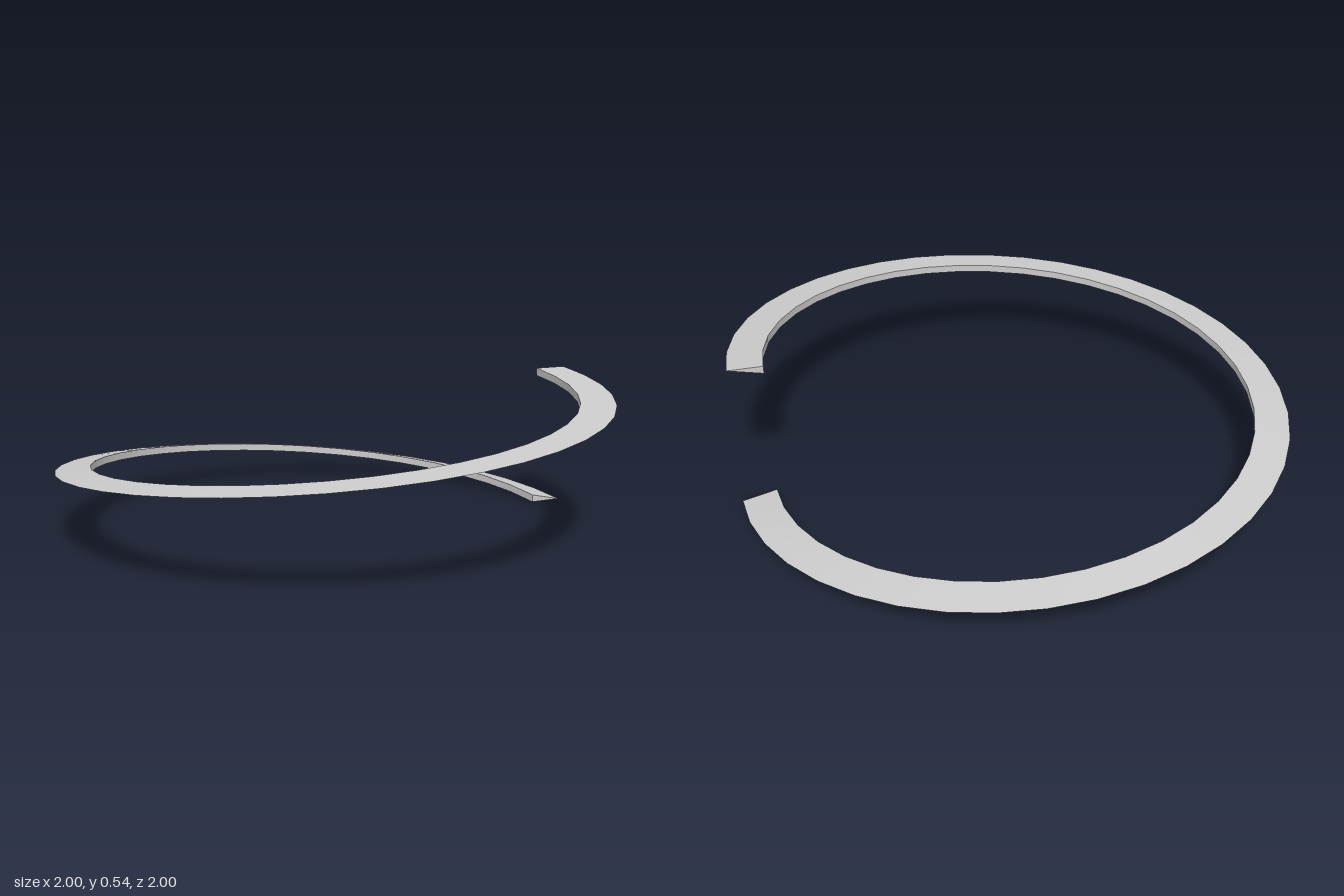
import * as THREE from 'three';
import { toCreasedNormals } from 'three/addons/utils/BufferGeometryUtils.js';

const SEGMENTS = 40;
const R_OUT = 1, R_IN = 0.875;
const RISE = 0.535, WALL = 0.028;

// Triangular section: an upright inner wall and a sharp outer edge that
// climbs from the foot of the wall to its top over the full turn.
function section(t) {
  const a = t * Math.PI * 2;
  const at = (r, y) => [r * Math.cos(a), y, -r * Math.sin(a)];
  const foot = t * (RISE - WALL);
  return [at(R_IN, foot + WALL), at(R_OUT, t * RISE), at(R_IN, foot)];
}

function helixGeometry() {
  const positions = [], index = [];
  for (let i = 0; i <= SEGMENTS; i++) {
    positions.push(...section(i / SEGMENTS).flat());
    if (i === SEGMENTS) break;
    for (let j = 0; j < 3; j++) {
      const a = i * 3 + j, b = i * 3 + (j + 1) % 3;
      index.push(a, b, a + 3, b, b + 3, a + 3);
    }
  }
  // End caps
  const e = SEGMENTS * 3;
  index.push(0, 2, 1, e, e + 1, e + 2);

  const g = new THREE.BufferGeometry();
  g.setAttribute('position', new THREE.Float32BufferAttribute(positions, 3));
  g.setIndex(index);
  // Smooth along the turn, sharp along the section's edges. The outer edge is
  // narrower than the crease angle only in normals, so it stays sharp.
  return toCreasedNormals(g, THREE.MathUtils.degToRad(30));
}

export function createModel() {
  const group = new THREE.Group();
  group.name = 'helixThread';
  const coil = new THREE.Mesh(helixGeometry(), new THREE.MeshStandardMaterial({ color: 0xcccccc }));
  coil.name = 'coil';
  group.add(coil);
  return group;
}
